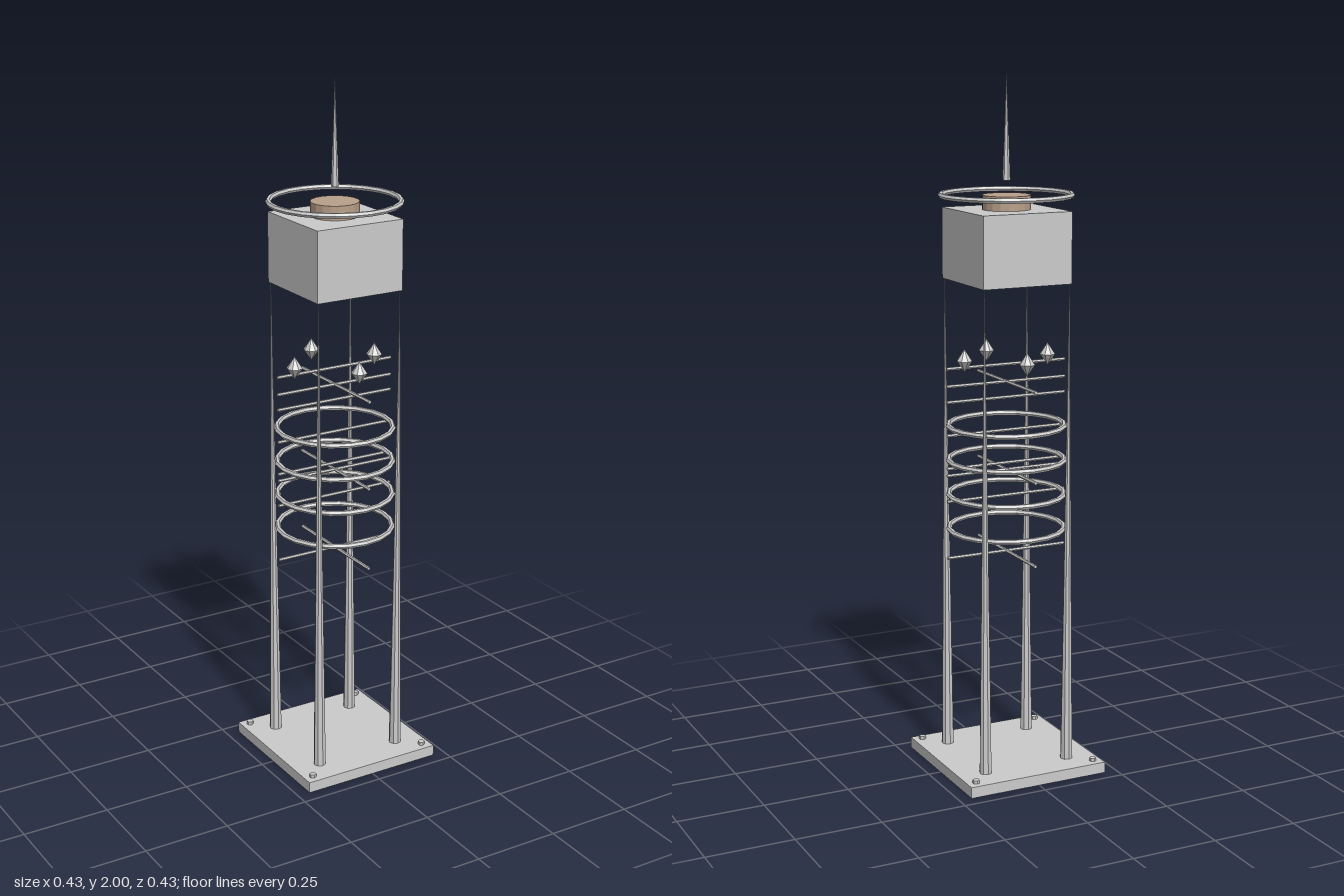
import * as THREE from 'three';

export function createModel() {
  const model = new THREE.Group();
  const grey = new THREE.MeshStandardMaterial({ color: 0xcccccc, flatShading: true });
  const brown = new THREE.MeshStandardMaterial({ color: 0xb9a08b, flatShading: true });

  function add(name, geometry, x, y, z, material = grey) {
    const mesh = new THREE.Mesh(geometry, material);
    mesh.name = name;
    mesh.position.set(x, y, z);
    model.add(mesh);
    return mesh;
  }

  // Base plate with a bolt and a tapering leg at each corner
  add('basePlate', new THREE.BoxGeometry(0.426, 0.032, 0.426), 0, 0.016, 0);
  const bolt = new THREE.CylinderGeometry(0.01, 0.01, 0.016, 6);
  const leg = new THREE.CylinderGeometry(0.0005, 0.018, 1.4, 8);
  for (const sx of [-1, 1]) {
    for (const sz of [-1, 1]) {
      add('bolt', bolt, sx * 0.187, 0.034, sz * 0.187);
      add('leg', leg, sx * 0.13, 0.73, sz * 0.13);
    }
  }

  // Stacked hoops around the legs
  const hoop = new THREE.TorusGeometry(0.165, 0.008, 6, 20).rotateX(Math.PI / 2);
  for (const y of [0.71, 0.81, 0.91, 1.01]) add('hoop', hoop, 0, y, 0);

  // Single crosswise rods and crossed pairs
  const rodX = new THREE.CylinderGeometry(0.005, 0.005, 0.37, 6).rotateZ(Math.PI / 2);
  const rodZ = rodX.clone().rotateY(Math.PI / 2);
  for (const y of [0.805, 0.9, 0.995, 1.09, 1.185]) add('rod', rodX, 0, y, 0);
  for (const y of [0.64, 0.88, 1.135]) {
    add('crossRod', rodX, 0, y, 0);
    add('crossRod', rodZ, 0, y, 0);
  }

  // Four floating crystals
  const crystal = new THREE.SphereGeometry(0.023, 8, 2).scale(1, 1.45, 1);
  for (let i = 0; i < 4; i++) {
    const a = i * Math.PI / 2;
    add('crystal', crystal, 0.13 * Math.cos(a), 1.204, 0.13 * Math.sin(a));
  }

  // Head block, cap disc, halo and spire
  add('headBlock', new THREE.BoxGeometry(0.27, 0.2, 0.27), 0, 1.52, 0);
  add('capDisc', new THREE.CylinderGeometry(0.068, 0.068, 0.04, 18), 0, 1.64, 0, brown);
  add('halo', new THREE.TorusGeometry(0.182, 0.008, 6, 24).rotateX(Math.PI / 2), 0, 1.66, 0);
  add('spire', new THREE.ConeGeometry(0.011, 0.3, 6), 0, 1.85, 0);

  return model;
}
